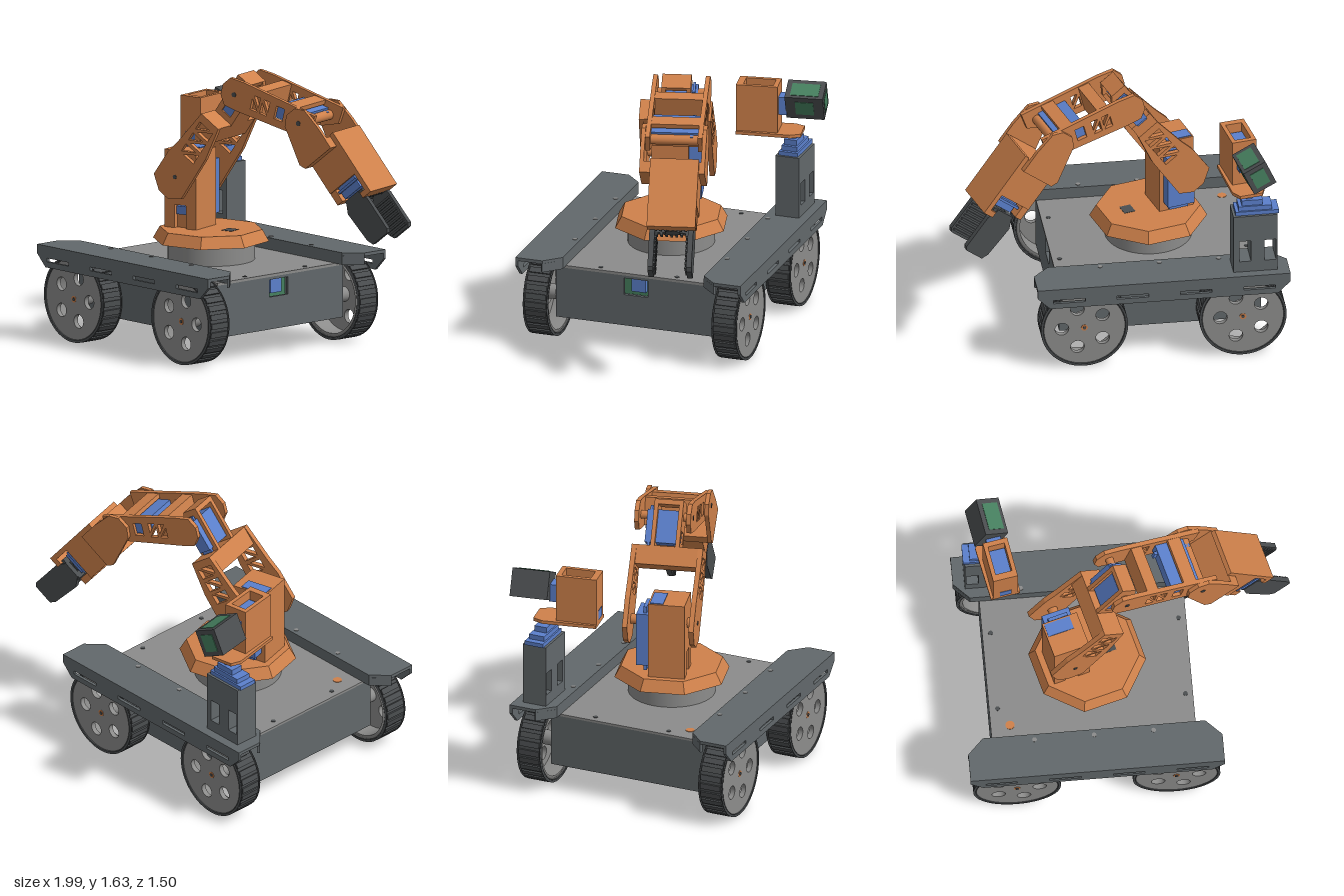
import * as THREE from 'three';

const mat = (name, color, side = THREE.FrontSide) => {
  const m = new THREE.MeshStandardMaterial({ color, side });
  m.name = name;
  return m;
};
const orange = mat('orange', 0xcf814b);
const blue = mat('blue', 0x5b80cc);
const slate = mat('slate', 0x62686b);
const silver = mat('silver', 0x8c8c8b);
const charcoal = mat('charcoal', 0x4b4e50);
const green = mat('green', 0x46805f);

function add(parent, name, geo, m, x = 0, y = 0, z = 0) {
  const mesh = new THREE.Mesh(geo, m);
  mesh.name = name;
  mesh.position.set(x, y, z);
  parent.add(mesh);
  return mesh;
}
function group(parent, name, x, y, z, rz = 0) {
  const g = new THREE.Group();
  g.name = name;
  g.position.set(x, y, z);
  g.rotation.z = rz;
  parent.add(g);
  return g;
}
// Box given by its two extreme corners
function box(parent, name, m, x0, x1, y0, y1, z0, z1) {
  return add(parent, name, new THREE.BoxGeometry(x1 - x0, y1 - y0, z1 - z0), m,
    (x0 + x1) / 2, (y0 + y1) / 2, (z0 + z1) / 2);
}
const disc = (r, h, n = 32) => new THREE.CylinderGeometry(r, r, h, n).rotateX(Math.PI / 2);
const vecs = pts => pts.map(p => new THREE.Vector2(p[0], p[1]));
const rect = (x0, x1, y0, y1) => [[x0, y0], [x1, y0], [x1, y1], [x0, y1]];
// Flat outline with polygonal holes, extruded along z
function plate(pts, depth, holes = []) {
  const s = new THREE.Shape(vecs(pts));
  holes.forEach(h => s.holes.push(new THREE.Path(vecs(h))));
  return new THREE.ExtrudeGeometry(s, { depth, bevelEnabled: false });
}
// Row of alternating triangular truss openings
function truss(u0, u1, n, v0, v1) {
  const w = (u1 - u0) / n, out = [];
  for (let i = 0; i < n; i++) {
    const a = u0 + i * w, k = w * 0.12;
    out.push([[a + k, v0], [a + w - k, v0], [a + k, v1 - 0.02]]);
    out.push([[a + w - k, v0 + 0.025], [a + w - k, v1], [a + 2 * k, v1]]);
  }
  return out;
}

function buildWheel(parent, x, side) {
  const w = group(parent, 'wheel', x, 0.265, side * 0.595);
  if (side < 0) w.scale.z = -1;
  const face = new THREE.Shape().absarc(0, 0, 0.25, 0, Math.PI * 2);
  for (let i = 0; i < 5; i++) {
    const a = i * Math.PI * 0.4;
    face.holes.push(new THREE.Path().absarc(0.135 * Math.cos(a), 0.135 * Math.sin(a), 0.041, 0, Math.PI * 2, true));
  }
  add(w, 'wheelFace', new THREE.ExtrudeGeometry(face, { depth: 0.03, bevelEnabled: false, curveSegments: 24 }), silver, 0, 0, 0.043);
  const ring = (r0, r1, h) => new THREE.LatheGeometry(
    vecs([[r0, -h], [r1, -h], [r1, h], [r0, h], [r0, -h]]), 48).rotateX(Math.PI / 2);
  add(w, 'rim', ring(0.222, 0.243, 0.072), silver);
  add(w, 'tyre', ring(0.243, 0.252, 0.077), charcoal);
  for (let i = 0; i < 30; i++) {
    const rib = add(w, 'tread', new THREE.BoxGeometry(0.012, 0.034, 0.13), charcoal);
    const a = i * Math.PI / 15;
    rib.position.set(0.255 * Math.cos(a), 0.255 * Math.sin(a), 0);
    rib.rotation.z = a;
  }
  for (const d of [-0.0745, 0.0745]) add(w, 'tyreEdge', ring(0.248, 0.261, 0.003), charcoal, 0, 0, d);
  add(w, 'hub', disc(0.045, 0.1), silver, 0, 0, 0.0);
  add(w, 'axle', disc(0.02, 0.19), orange, 0, 0, -0.02);
  add(w, 'axleBolt', disc(0.01, 0.004), charcoal, 0, 0, 0.077);
}

function buildChassis(root) {
  const c = group(root, 'chassis', 0, 0, 0.03);
  // Hollow body with a sensor window in its +x end
  box(c, 'floor', slate, -0.85, 0.36, 0.16, 0.18, -0.51, 0.51);
  for (const s of [-1, 1]) box(c, 'sideWall', slate, -0.85, 0.36, 0.18, 0.48, s * 0.5 - 0.01, s * 0.5 + 0.01);
  box(c, 'rearWall', slate, -0.85, -0.83, 0.18, 0.48, -0.49, 0.49);
  const end = plate(rect(-0.49, 0.49, 0.18, 0.48), 0.02, [rect(-0.08, 0.07, 0.355, 0.46)]);
  add(c, 'windowWall', end, slate, 0.34, 0, 0).rotation.y = Math.PI / 2;
  box(c, 'sensorBoard', green, 0.29, 0.3, 0.34, 0.475, -0.1, 0.1);
  box(c, 'sensor', blue, 0.3, 0.33, 0.37, 0.46, -0.045, 0.045);
  box(c, 'lid', silver, -0.85, 0.365, 0.478, 0.494, -0.5, 0.5);
  for (const x of [-0.8, 0.32]) for (const z of [-0.24, 0.24]) add(c, 'deckBolt', new THREE.CylinderGeometry(0.014, 0.014, 0.004, 12), charcoal, x, 0.495, z);
  add(c, 'cableHole', new THREE.CylinderGeometry(0.027, 0.027, 0.004, 16), orange, -0.735, 0.495, 0.35);

  const flange = [[-1, 0.51], [-0.925, 0.435], [0.44, 0.435], [0.515, 0.51], [0.515, 0.565], [-1, 0.565]];
  const slots = [-0.91, -0.53, -0.15, 0.23].map(x => rect(x, x + 0.19, 0.47, 0.492));
  for (const s of [-1, 1]) {
    const f = group(c, 'fender', 0, 0, 0);
    const top = plate([[-1, 0.71 * s], [0.515, 0.71 * s], [0.515, 0.54 * s], [0.42, 0.445 * s], [-0.905, 0.445 * s], [-1, 0.54 * s]], 0.02);
    add(f, 'fenderTop', top.rotateX(Math.PI / 2), slate, 0, 0.565, 0);
    add(f, 'fenderSkirt', plate(flange, 0.018, slots), slate, 0, 0, s > 0 ? 0.692 : -0.71);
    box(f, 'fenderInnerWall', slate, -0.905, 0.42, 0.492, 0.547, s * 0.454 - 0.009, s * 0.454 + 0.009);
    for (const [x, d] of [[-0.9475, 1], [0.4625, -1]]) {
      const corner = add(f, 'fenderCorner', new THREE.BoxGeometry(0.135, 0.055, 0.016), slate, x, 0.5195, s * 0.498);
      corner.rotation.y = s * d * Math.PI / 4;
    }
    for (const x of [-0.6, -0.245, 0.11]) add(f, 'fenderBolt', new THREE.CylinderGeometry(0.014, 0.014, 0.004, 12), silver, x, 0.566, s * 0.48);
    for (const x of [-0.72, 0.23]) buildWheel(c, x, s);
  }
}

function buildArm(root) {
  const a = group(root, 'arm', -0.245, 0, 0.03);
  a.rotation.y = 0.262;
  // Turntable
  add(a, 'turntable', new THREE.CylinderGeometry(0.26, 0.26, 0.12, 48), silver, 0, 0.552, 0);
  const base = new THREE.CylinderGeometry(0.31, 0.35, 0.07, 8, 1).rotateY(Math.PI / 8).toNonIndexed();
  base.computeVertexNormals();
  add(a, 'turntableTop', base, orange, 0, 0.645, 0);
  box(a, 'cableSlot', charcoal, 0.1, 0.17, 0.678, 0.682, -0.04, 0.04);
  // Shoulder tower with a foot opening
  add(a, 'tower', plate([[-0.25, 0.68], [-0.18, 0.68], [-0.18, 0.82], [-0.1, 0.82], [-0.1, 0.68], [-0.03, 0.68], [-0.03, 1.15], [-0.25, 1.15]], 0.22), orange, 0, 0, -0.1);
  box(a, 'towerInset', orange, -0.18, -0.1, 0.68, 0.76, -0.08, 0.09);
  box(a, 'towerServo', blue, -0.18, -0.1, 0.76, 0.81, -0.08, 0.1);
  box(a, 'shoulderServo', blue, -0.225, -0.055, 0.74, 1.07, -0.175, -0.1);
  box(a, 'shoulderServoFlange', blue, -0.2, -0.08, 0.7, 1.11, -0.135, -0.115);
  box(a, 'towerTopServo', blue, -0.24, -0.08, 1.148, 1.155, -0.09, -0.01);
  add(a, 'shoulderAxle', disc(0.03, 0.4, 20), orange, -0.14, 1, -0.035);

  // Upper arm: wide fork, bridge and narrow neck
  const u = group(a, 'upperArm', -0.14, 1, 0, 0.965);
  const fork = plate([[-0.14, -0.04], [-0.08, -0.11], [0.23, -0.105], [0.437, -0.07], [0.437, 0.075], [0.2, 0.105], [0.1, 0.125], [-0.08, 0.125], [-0.14, 0.04]],
    0.03, truss(0.14, 0.4, 3, -0.055, 0.055));
  for (const z of [0.15, -0.25]) add(u, 'forkPlate', fork, orange, 0, 0, z);
  add(u, 'shoulderBolt', disc(0.013, 0.004, 12), charcoal, 0, 0, 0.181);
  box(u, 'bridge', orange, 0.32, 0.437, -0.068, 0.074, -0.22, 0.15);
  const neck = plate([[0.43, -0.07], [0.65, -0.07], [0.72, -0.03], [0.72, 0.07], [0.43, 0.07]], 0.025, [rect(0.47, 0.54, -0.035, 0.035)]);
  for (const z of [0.01, -0.14]) add(u, 'neckPlate', neck, orange, 0, 0, z);
  box(u, 'neckEnd', orange, 0.69, 0.72, -0.03, 0.07, -0.115, 0.01);
  box(u, 'neckFloor', orange, 0.43, 0.65, -0.07, -0.045, -0.115, 0.01);
  box(u, 'elbowServo', blue, 0.46, 0.66, -0.035, 0.045, -0.18, 0.025);
  box(u, 'elbowServoFlange', blue, 0.44, 0.685, -0.03, 0.04, -0.165, -0.15);

  // Forearm: two truss plates joined by webs
  const f = group(a, 'forearm', 0.22, 1.52, 0, -0.255);
  const side = plate([[-0.09, -0.03], [-0.05, -0.085], [0.03, -0.09], [0.45, -0.083], [0.56, -0.03], [0.57, 0.075], [0.05, 0.095], [-0.05, 0.09], [-0.09, 0.035]],
    0.027, [...truss(0.12, 0.26, 2, -0.045, 0.045), rect(0.3, 0.36, -0.04, 0.04)]);
  for (const z of [0.063, -0.25]) add(f, 'forearmPlate', side, orange, 0, 0, z);
  add(f, 'elbowAxle', disc(0.025, 0.33, 20), orange, 0, 0, -0.08);
  add(f, 'elbowBolt', disc(0.015, 0.004, 12), charcoal, 0, 0, 0.091);
  box(f, 'elbowWeb', orange, 0.12, 0.19, -0.08, 0.085, -0.225, 0.065);
  box(f, 'wristWeb', orange, 0.36, 0.44, 0.05, 0.078, -0.225, 0.065);
  box(f, 'wristFloor', orange, 0.34, 0.44, -0.08, -0.055, -0.225, 0.065);
  box(f, 'wristServo', blue, 0.29, 0.47, -0.035, 0.04, -0.23, 0.07);
  box(f, 'wristServoFlange', blue, 0.27, 0.5, -0.025, 0.03, -0.19, -0.17);

  // Hand with wrist cheeks, hood and end servo
  const h = group(a, 'hand', 0.69, 1.398, 0, -0.89);
  const cheek = plate([[-0.085, -0.04], [-0.04, -0.09], [0.2, -0.15], [0.24, -0.13], [0.24, 0.1], [0.1, 0.1], [-0.04, 0.085], [-0.085, 0.035]], 0.024);
  for (const z of [0.091, -0.275]) add(h, 'wristCheek', cheek, orange, 0, 0, z);
  add(h, 'wristBolt', disc(0.015, 0.004, 12), charcoal, 0, 0, 0.116);
  add(h, 'wristAxle', disc(0.03, 0.36, 20), orange, 0, 0, -0.08);
  box(h, 'handBack', orange, 0.17, 0.24, -0.13, 0.1, -0.255, 0.095);
  box(h, 'handHood', orange, 0.16, 0.585, 0.1, 0.13, -0.24, 0.05);
  box(h, 'handBody', orange, 0.2, 0.44, -0.12, 0.1, -0.24, 0.05);
  box(h, 'handFloor', orange, 0.44, 0.52, -0.125, -0.08, -0.23, 0.04);
  box(h, 'handLip', orange, 0.55, 0.585, 0.06, 0.1, -0.24, 0.05);
  box(h, 'gripServo', blue, 0.43, 0.52, -0.06, 0.08, -0.19, 0.035);
  box(h, 'gripServoFlange', blue, 0.46, 0.475, -0.07, 0.09, -0.22, 0.045);
  // Gear, toothed racks and fingers
  add(h, 'gripGear', new THREE.CylinderGeometry(0.045, 0.045, 0.06, 16).rotateZ(Math.PI / 2), charcoal, 0.55, -0.01, -0.095);
  for (const s of [-1, 1]) {
    const zc = -0.095 + s * 0.115;
    box(h, 'rack', charcoal, 0.53, 0.57, s * 0.055 - 0.02, s * 0.055 + 0.02, -0.22, 0.03);
    add(h, 'finger', plate([[0.53, -0.06], [0.6, -0.1], [0.8, -0.085], [0.84, -0.065], [0.84, 0.06], [0.82, 0.078], [0.6, 0.075], [0.53, 0.045]], 0.032), charcoal, 0, 0, zc - 0.016);
    for (let i = 0; i < 8; i++) {
      const x = 0.62 + i * 0.027, z = zc - s * 0.021;
      box(h, 'fingerRib', charcoal, x, x + 0.013, -0.07, 0.065, z - 0.006, z + 0.006);
    }
    for (let i = 0; i < 8; i++) box(h, 'rackTooth', charcoal, 0.57, 0.585, s * 0.055 - 0.018, s * 0.055 + 0.018, -0.215 + i * 0.03, -0.2 + i * 0.03);
  }
}

function buildCameraMast(root) {
  const m = group(root, 'cameraMast', 0, 0, 0);
  // Windowed post
  const post = plate(rect(-0.93, -0.665, 0.565, 0.945), 0.15, [rect(-0.92, -0.85, 0.635, 0.775), rect(-0.77, -0.7, 0.635, 0.775)]);
  add(m, 'mastPost', post, slate, 0, 0, -0.625);
  // Pan servo
  box(m, 'panServoFlange', blue, -0.94, -0.68, 0.945, 0.97, -0.61, -0.49);
  box(m, 'panServo', blue, -0.9, -0.7, 0.97, 1.0, -0.6, -0.5);
  box(m, 'panServoCap', blue, -0.845, -0.72, 1.0, 1.035, -0.59, -0.51);
  add(m, 'panShaft', new THREE.CylinderGeometry(0.025, 0.025, 0.05, 20), blue, -0.765, 1.055, -0.55);
  // Rotating head, carrying the tilt servo housing and camera
  const p = group(m, 'cameraHead', -0.765, 0, -0.55);
  p.rotation.y = 0.17;
  const foot = plate([[-0.07, -0.06], [0.07, -0.06], [0.1, 0], [0.09, 0.33], [-0.09, 0.33], [-0.1, 0]], 0.02);
  add(p, 'headFoot', foot.rotateX(Math.PI / 2), orange, 0, 1.085, 0);
  const frame = plate(rect(-0.075, 0.075, 0.08, 0.33), 0.29, [rect(-0.05, 0.05, 0.11, 0.29)]);
  add(p, 'tiltHousing', frame.rotateX(Math.PI / 2), orange, 0, 1.375, 0);
  box(p, 'tiltServo', blue, -0.048, 0.048, 1.12, 1.32, 0.12, 0.28);
  box(p, 'tiltServoFront', blue, -0.035, 0.035, 1.1, 1.16, 0.325, 0.333);
  box(p, 'tiltServoNose', blue, -0.045, 0.045, 1.19, 1.3, 0.03, 0.08);
  add(p, 'tiltShaft', disc(0.025, 0.05, 20), blue, 0, 1.26, 0.02);
  const c = group(p, 'camera', -0.01, 1.275, -0.075, -0.42);
  box(c, 'cameraBox', charcoal, -0.075, 0.075, -0.085, 0.085, -0.12, 0.11);
  box(c, 'cameraTopBoard', green, -0.045, 0.055, 0.083, 0.088, -0.09, 0.08);
  box(c, 'cameraSideBoard', green, 0.073, 0.078, -0.05, 0.05, -0.06, 0.05);
  box(c, 'cameraBackBoard', green, -0.045, 0.045, -0.055, 0.055, -0.124, -0.118);
}

export function createModel() {
  const root = new THREE.Group();
  root.name = 'armedRover';
  buildChassis(root);
  buildArm(root);
  buildCameraMast(root);
  return root;
}
